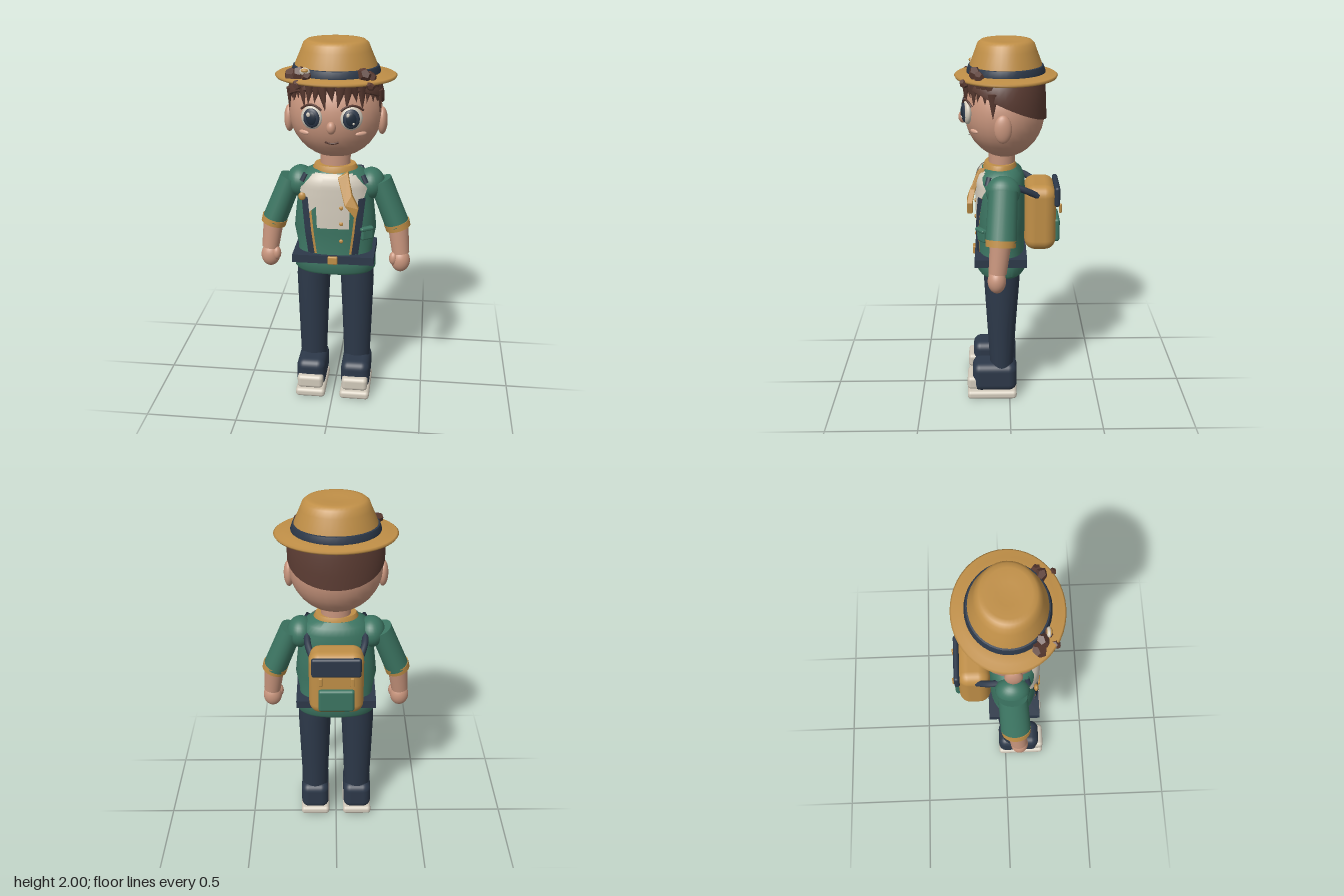
import * as THREE from 'three';
import { toCreasedNormals } from 'three/addons/utils/BufferGeometryUtils.js';
import { RoundedBoxGeometry } from 'three/addons/geometries/RoundedBoxGeometry.js';

const mat = (name, color, side = THREE.FrontSide) => new THREE.MeshStandardMaterial({ name, color, side });
const V = (x, y, z) => new THREE.Vector3(x, y, z);

export function createModel() {
  const root = new THREE.Group();
  root.name = 'hiker';
  const skin = mat('skin', 0xc8957d), blush = mat('blush', 0xd9a68f), hair = mat('hair brown', 0x5a3b32);
  const gold = mat('ochre', 0xc08f47, THREE.DoubleSide), green = mat('jacket green', 0x3c7562, THREE.DoubleSide);
  const navy = mat('navy', 0x2d394a, THREE.DoubleSide), cream = mat('cream', 0xd2cabb, THREE.DoubleSide);
  const iris = mat('iris', 0x1f2c3b);

  const add = (name, geo, m, x = 0, y = 0, z = 0, parent = root) => {
    const mesh = new THREE.Mesh(geo, m);
    mesh.name = name;
    mesh.position.set(x, y, z);
    parent.add(mesh);
    return mesh;
  };
  const ball = (name, m, x, y, z, rx, ry, rz) => {
    const b = add(name, new THREE.SphereGeometry(1, 28, 18), m, x, y, z);
    b.scale.set(rx, ry, rz);
    return b;
  };
  const rbox = (name, m, x, y, z, w, h, d, r) => add(name, new RoundedBoxGeometry(w, h, d, 4, r), m, x, y, z);
  const tube = (name, m, pts, r, seg = 16) =>
    add(name, new THREE.TubeGeometry(new THREE.CatmullRomCurve3(pts), seg, r, 8), m);
  // Tapered cylinder between two points, stretched in depth by sz
  const limb = (name, m, a, b, ra, rb, sz = 1) => {
    const d = a.clone().sub(b);
    const c = add(name, new THREE.CylinderGeometry(ra, rb, d.length(), 24), m);
    c.position.copy(a).add(b).multiplyScalar(0.5);
    c.quaternion.setFromUnitVectors(V(0, 1, 0), d.normalize());
    c.scale.z = sz;
    return c;
  };
  // Closed skin over superelliptic rings [y, cx, cz, rx, rz], listed bottom to top
  const loft = (rings, p = 2, n = 40, tilt = () => 0) => {
    const pos = [], idx = [], f = (v) => Math.sign(v) * Math.abs(v) ** (2 / p);
    rings.forEach(([y, cx, cz, rx, rz], j) => {
      for (let i = 0; i < n; i++) {
        const a = (i / n) * Math.PI * 2, z = cz + rz * f(Math.sin(a));
        pos.push(cx + rx * f(Math.cos(a)), y + tilt(z, j), z);
        if (j < rings.length - 1) {
          const A = j * n + i, B = j * n + ((i + 1) % n);
          idx.push(A, A + n, B, B, A + n, B + n);
        }
      }
    });
    const top = (rings.length - 1) * n, c = rings.length * n, e = rings[rings.length - 1];
    pos.push(rings[0][1], rings[0][0] + tilt(rings[0][2], 0), rings[0][2], e[1], e[0], e[2]);
    for (let i = 0; i < n; i++) {
      const k = (i + 1) % n;
      idx.push(c, i, k, c + 1, top + k, top + i);
    }
    const g = new THREE.BufferGeometry();
    g.setAttribute('position', new THREE.Float32BufferAttribute(pos, 3));
    g.setIndex(idx);
    return toCreasedNormals(g, 0.7);
  };

  // Jacket
  const body = [[0.755, 0.21, 0.125], [0.77, 0.222, 0.135], [0.83, 0.222, 0.135], [0.88, 0.2, 0.125], [1.0, 0.222, 0.132],
    [1.1, 0.212, 0.132], [1.2, 0.2, 0.13], [1.27, 0.19, 0.127], [1.31, 0.165, 0.112], [1.335, 0.12, 0.085]];
  add('jacket', loft(body.map(([y, rx, rz]) => [y, 0, 0.045, rx, rz]), 2.4), green);
  const bodyZ = (x, y) => {
    const i = Math.max(1, body.findIndex((b) => b[0] >= y)), [a, b] = [body[i - 1], body[i]];
    const t = (y - a[0]) / (b[0] - a[0]), rx = a[1] + (b[1] - a[1]) * t, rz = a[2] + (b[2] - a[2]) * t;
    return 0.045 + rz * Math.max(0, 1 - Math.min(1, Math.abs(x / rx)) ** 2.4) ** (1 / 2.4);
  };
  // Cloth panel laid over the chest, from rows [y, xLeft, xRight] listed bottom to top
  const panel = (name, m, rows, lift) => {
    const g = new THREE.PlaneGeometry(1, 1, 8, 14), p = g.attributes.position;
    for (let i = 0; i < p.count; i++) {
      const u = p.getX(i) + 0.5, s = (p.getY(i) + 0.5) * (rows.length - 1), k = Math.min(rows.length - 2, Math.floor(s));
      const [y, l, r] = rows[k].map((q, c) => q + (rows[k + 1][c] - q) * (s - k));
      const x = l + (r - l) * u;
      p.setXYZ(i, x, y, bodyZ(x, y) + lift);
    }
    g.computeVertexNormals();
    return add(name, g, m);
  };
  panel('shirtFront', cream, [[1.03, -0.085, 0.085], [1.15, -0.09, 0.09], [1.25, -0.1, 0.1], [1.325, -0.1, 0.1]], 0.006);
  panel('rightLapel', cream, [[1.12, -0.135, -0.125], [1.17, -0.16, -0.07], [1.23, -0.185, -0.06], [1.32, -0.11, -0.05]], 0.013);
  panel('leftLapel', cream, [[1.13, 0.13, 0.14], [1.18, 0.08, 0.155], [1.25, 0.06, 0.178], [1.32, 0.05, 0.115]], 0.013);
  for (const y of [1.15, 1.06, 0.96]) ball('button', gold, 0.045, y, bodyZ(0.045, y) + 0.008, 0.011, 0.011, 0.006);
  ball('badge', gold, -0.165, 1.2, 0.16, 0.02, 0.022, 0.012);
  const pocket = rbox('chestPocket', green, 0.178, 1.0, 0.145, 0.07, 0.07, 0.03, 0.01);
  pocket.rotation.y = 0.6;
  rbox('pocketFlap', green, 0.178, 1.028, 0.153, 0.075, 0.02, 0.03, 0.008).rotation.y = 0.6;

  // Belt
  add('belt', new THREE.BoxGeometry(0.44, 0.045, 0.28), navy, 0, 0.85, 0.048);
  rbox('beltBuckle', gold, 0, 0.85, 0.192, 0.052, 0.045, 0.02, 0.006);

  // Neck, collar and scarf tail
  add('neck', loft([[1.3, 0, 0.04, 0.08, 0.07], [1.46, 0, 0.04, 0.08, 0.07]]), skin);
  add('collar', loft([[1.31, 0, 0.05, 0.12, 0.092], [1.335, 0, 0.05, 0.12, 0.09], [1.358, 0, 0.05, 0.108, 0.08]]), gold);
  const tail = new THREE.Shape([[0.03, 1.31], [0.075, 1.335], [0.1, 1.23], [0.135, 1.165], [0.125, 1.11], [0.07, 1.18]]
    .map(([x, y]) => new THREE.Vector2(x, y)));
  const tailGeo = new THREE.ExtrudeGeometry(tail, { depth: 0.022, bevelSize: 0.004, bevelThickness: 0.004, bevelSegments: 2 });
  const tp = tailGeo.attributes.position;
  for (let i = 0; i < tp.count; i++) tp.setZ(i, tp.getZ(i) + 0.2 - Math.max(0, tp.getY(i) - 1.2) * 0.5);
  tailGeo.computeVertexNormals();
  add('scarfTail', tailGeo, gold);

  // Head
  const HY = 1.635, HZ = 0.025;
  ball('head', skin, 0, HY, HZ, 0.243, 0.245, 0.212);
  const headZ = (x, y) => HZ + 0.212 * Math.sqrt(Math.max(0, 1 - (x / 0.243) ** 2 - ((y - HY) / 0.245) ** 2));
  ball('nose', skin, 0, 1.6, 0.243, 0.024, 0.032, 0.024);
  tube('mouth', hair, [-0.035, -0.018, 0, 0.018, 0.035].map((x) => {
    const y = 1.508 + 8 * x * x;
    return V(x, y, headZ(x, y) + 0.002);
  }), 0.005);

  // Hair cap, sloping down toward the nape
  const slope = (z, j) => [0.45, 0.3, 0.12, 0][j] * (z - 0.03);
  add('hairCap', loft([[1.7, 0, 0.022, 0.25, 0.217], [1.74, 0, 0.022, 0.25, 0.215],
    [1.79, 0, 0.02, 0.236, 0.208], [1.825, 0, 0.02, 0.22, 0.195]], 2, 40, slope), hair);
  // Fringe of overlapping locks
  for (let i = 0; i < 15; i++) {
    const a = (i / 14 - 0.5) * 2.5, len = 0.11 + 0.025 * Math.sin(i * 2.4) + 0.01 * Math.abs(a);
    const lock = add('fringeLock', new THREE.ConeGeometry(0.032, len, 7), hair,
      Math.sin(a) * 0.226, 1.815 - len / 2, HZ + Math.cos(a) * 0.208);
    lock.rotation.set(Math.PI, -a, 0.2 * Math.sin(i * 1.7), 'YXZ');
    lock.rotation.y = a;
    lock.scale.z = 0.6;
  }

  // Hat
  const CZ = 0.017;
  const brim = add('hatBrim', new THREE.LatheGeometry([[0, 1.808], [0.9, 1.808], [0.98, 1.812], [1, 1.822], [0.97, 1.828],
    [0.85, 1.828], [0.7, 1.842], [0, 1.842]].map(([r, y]) => new THREE.Vector2(r, y)), 48), gold, 0, 0, CZ);
  brim.scale.set(0.314, 1, 0.267);
  add('hatCrown', loft([[1.83, 0, CZ, 0.222, 0.197], [1.88, 0, CZ, 0.21, 0.185], [1.95, 0, CZ, 0.18, 0.158],
    [1.983, 0, CZ, 0.167, 0.146], [1.997, 0, CZ, 0.15, 0.13], [2, 0, CZ, 0.125, 0.108], [1.994, 0, CZ, 0.06, 0.05]]), gold);
  add('hatBand', loft([[1.836, 0, CZ, 0.228, 0.203], [1.845, 0, CZ, 0.229, 0.203], [1.872, 0, CZ, 0.22, 0.194],
    [1.876, 0, CZ, 0.2, 0.18]]), navy);
  // Tufts resting on the brim
  for (const [x, y, z, r] of [[-0.205, 1.838, 0.15, 0.042], [-0.165, 1.85, 0.165, 0.04], [-0.125, 1.845, 0.19, 0.03],
    [-0.17, 1.81, 0.228, 0.026], [0.185, 1.838, 0.15, 0.035], [0.155, 1.852, 0.172, 0.04], [0.19, 1.81, 0.228, 0.025]]) {
    const t = add('hairTuft', new THREE.DodecahedronGeometry(r), hair, x, y, z);
    t.scale.y = 0.75;
    t.rotation.set(x * 9, x * 5, z * 4);
  }
  ball('hatCharm', cream, -0.135, 1.868, 0.195, 0.026, 0.02, 0.012);
  ball('hatCharmCentre', gold, -0.135, 1.874, 0.197, 0.02, 0.011, 0.015);

  // Backpack
  rbox('backpack', gold, 0, 1.067, -0.165, 0.29, 0.365, 0.17, 0.06);
  rbox('backpackFlap', navy, 0, 1.19, -0.254, 0.26, 0.11, 0.03, 0.014);
  rbox('backpackPocket', green, 0, 0.99, -0.255, 0.19, 0.13, 0.035, 0.015);

  for (const s of [-1, 1]) {
    const side = s > 0 ? 'left' : 'right';
    // Face
    const ez = headZ(0.1, 1.645);
    const eye = (name, m, dx, dy, dz, rx, ry, rz) => {
      ball(side + name, m, s * 0.1 + dx, 1.645 + dy, ez + dz, rx, ry, rz).rotation.y = s * 0.25;
    };
    eye('Eye', cream, 0, 0, 0, 0.056, 0.06, 0.024);
    eye('EyeRing', navy, 0, 0, 0.012, 0.044, 0.05, 0.017);
    eye('Iris', iris, 0, 0, 0.02, 0.03, 0.036, 0.012);
    eye('EyeGlint', cream, -0.014, 0.02, 0.028, 0.01, 0.012, 0.005);
    eye('EyeGlintSmall', cream, 0.012, -0.02, 0.026, 0.006, 0.007, 0.005);
    tube(side + 'Lash', hair, [-0.052, -0.028, 0, 0.028, 0.056].map((d) =>
      V(s * (0.1 + d), 1.71 - 9 * d * d, headZ(0.1 + d, 1.7) + 0.012)), 0.006);
    ball(side + 'Cheek', blush, s * 0.145, 1.557, headZ(0.145, 1.557), 0.032, 0.012, 0.01).rotation.y = s * 0.6;
    ball(side + 'Ear', skin, s * 0.243, 1.59, 0.035, 0.027, 0.072, 0.045);
    const burn = add(side + 'Sideburn', new THREE.ConeGeometry(0.028, 0.13, 7), hair, s * 0.232, 1.7, 0.085);
    burn.rotation.x = Math.PI;
    burn.scale.x = 0.5;

    // Arm
    limb(side + 'Sleeve', green, V(s * 0.238, 1.265, 0.035), V(s * 0.336, 1.02, 0.048), 0.062, 0.066, 1.22);
    ball(side + 'Shoulder', green, s * 0.19, 1.245, 0.035, 0.075, 0.085, 0.09);
    limb(side + 'Cuff', gold, V(s * 0.332, 1.034, 0.048), V(s * 0.342, 1.0, 0.05), 0.07, 0.068, 1.15);
    limb(side + 'Forearm', skin, V(s * 0.34, 1.02, 0.05), V(s * 0.36, 0.86, 0.066), 0.056, 0.047);
    ball(side + 'Hand', skin, s * 0.36, 0.815, 0.07, 0.052, 0.065, 0.048);
    ball(side + 'Thumb', skin, s * 0.322, 0.832, 0.088, 0.024, 0.038, 0.026);

    // Leg and shoe
    add(side + 'Trouser', loft([[0.17, s * 0.125, 0.045, 0.073, 0.064], [0.45, s * 0.124, 0.045, 0.083, 0.08],
      [0.7, s * 0.122, 0.043, 0.092, 0.096], [0.8, s * 0.115, 0.043, 0.095, 0.1]]), navy);
    rbox(side + 'Shoe', navy, s * 0.126, 0.13, 0.085, 0.162, 0.17, 0.25, 0.045);
    rbox(side + 'ToeCap', cream, s * 0.126, 0.097, 0.2, 0.145, 0.078, 0.08, 0.022);
    rbox(side + 'Sole', cream, s * 0.126, 0.025, 0.1, 0.168, 0.05, 0.28, 0.02);

    // Straps
    const strap = (x, y, dz) => V(s * x, y, bodyZ(x, y) + dz);
    const path = [[0.15, 1.2], [0.14, 1.1], [0.13, 1.0], [0.115, 0.88]];
    const flat = (name, m, off, w, dz) => {
      panel(side + name, m, path.slice().reverse().map(([x, y]) => [y, s * (x + off) - w, s * (x + off) + w]), dz);
    };
    flat('StrapEdge', gold, -0.008, 0.02, 0.01);
    flat('Strap', navy, 0.002, 0.018, 0.016);
    tube(side + 'StrapFold', navy, [strap(0.17, 1.27, 0.004), strap(0.15, 1.31, 0.004)], 0.014, 6);
    tube(side + 'ShoulderStrap', navy, [V(s * 0.13, 1.2, -0.15), V(s * 0.15, 1.235, -0.09), V(s * 0.155, 1.26, -0.03)], 0.018);
    rbox(side + 'PackBuckle', gold, s * 0.083, 1.115, -0.274, 0.02, 0.05, 0.014, 0.005);
  }
  return root;
}
